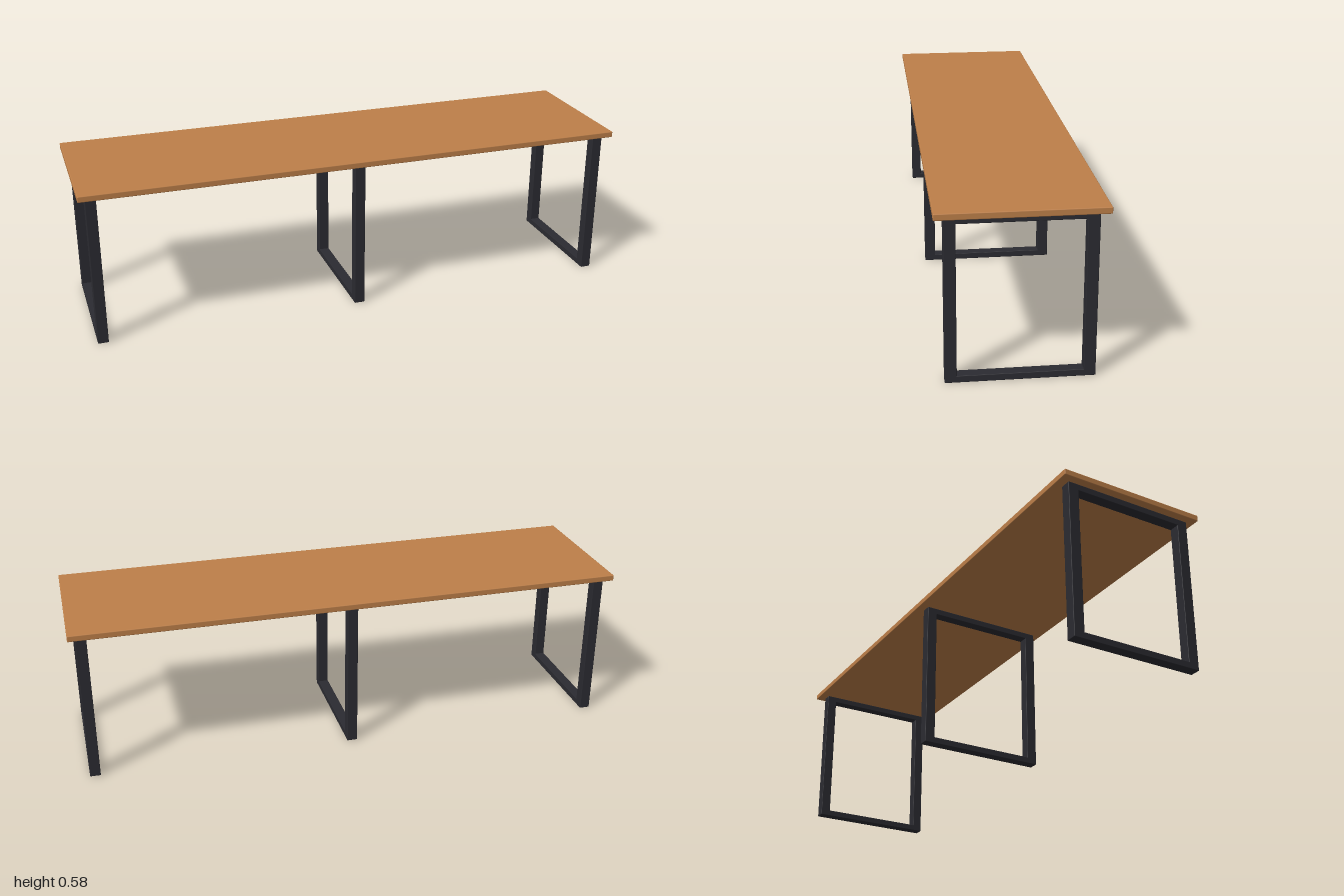
import * as THREE from 'three';
import { RoundedBoxGeometry } from 'three/addons/geometries/RoundedBoxGeometry.js';

const WIDTH = 2, DEPTH = 0.538, TOP_Y = 0.577, SLAB = 0.022;
const FRAME_H = TOP_Y - SLAB, FRAME_D = 0.477, BAR = 0.038, RAIL = 0.023;

export function createModel() {
  const wood = new THREE.MeshStandardMaterial({ color: 0xbd7f49 });
  wood.name = 'warm wood';
  const metal = new THREE.MeshStandardMaterial({ color: 0x2b2b31 });
  metal.name = 'dark metal';

  const bar = (name, size, pos, material, radius) => {
    const mesh = new THREE.Mesh(new RoundedBoxGeometry(...size, 2, radius), material);
    mesh.name = name;
    mesh.position.set(...pos);
    return mesh;
  };

  const model = new THREE.Group();
  model.name = 'bench table';

  // Table top with softly eased edges
  model.add(bar('tableTop', [WIDTH, SLAB, DEPTH], [0, TOP_Y - SLAB / 2, 0], wood, 0.003));

  // Three closed rectangular leg frames
  const frames = [['rightFrame', -0.955], ['middleFrame', 0], ['leftFrame', 0.955]];
  for (const [name, x] of frames) {
    const frame = new THREE.Group();
    frame.name = name;
    frame.position.x = x;
    // Upright posts
    for (const [side, s] of [['front', 1], ['back', -1]]) {
      frame.add(bar(side + 'Post', [BAR, FRAME_H, BAR],
        [0, FRAME_H / 2, s * (FRAME_D - BAR) / 2], metal, 0.002));
    }
    // Rails between the posts, ends buried inside them
    const railLength = FRAME_D - BAR;
    frame.add(bar('bottomRail', [BAR, RAIL, railLength], [0, RAIL / 2, 0], metal, 0.002));
    frame.add(bar('topRail', [BAR, RAIL, railLength], [0, FRAME_H - RAIL / 2, 0], metal, 0.002));
    model.add(frame);
  }
  return model;
}
